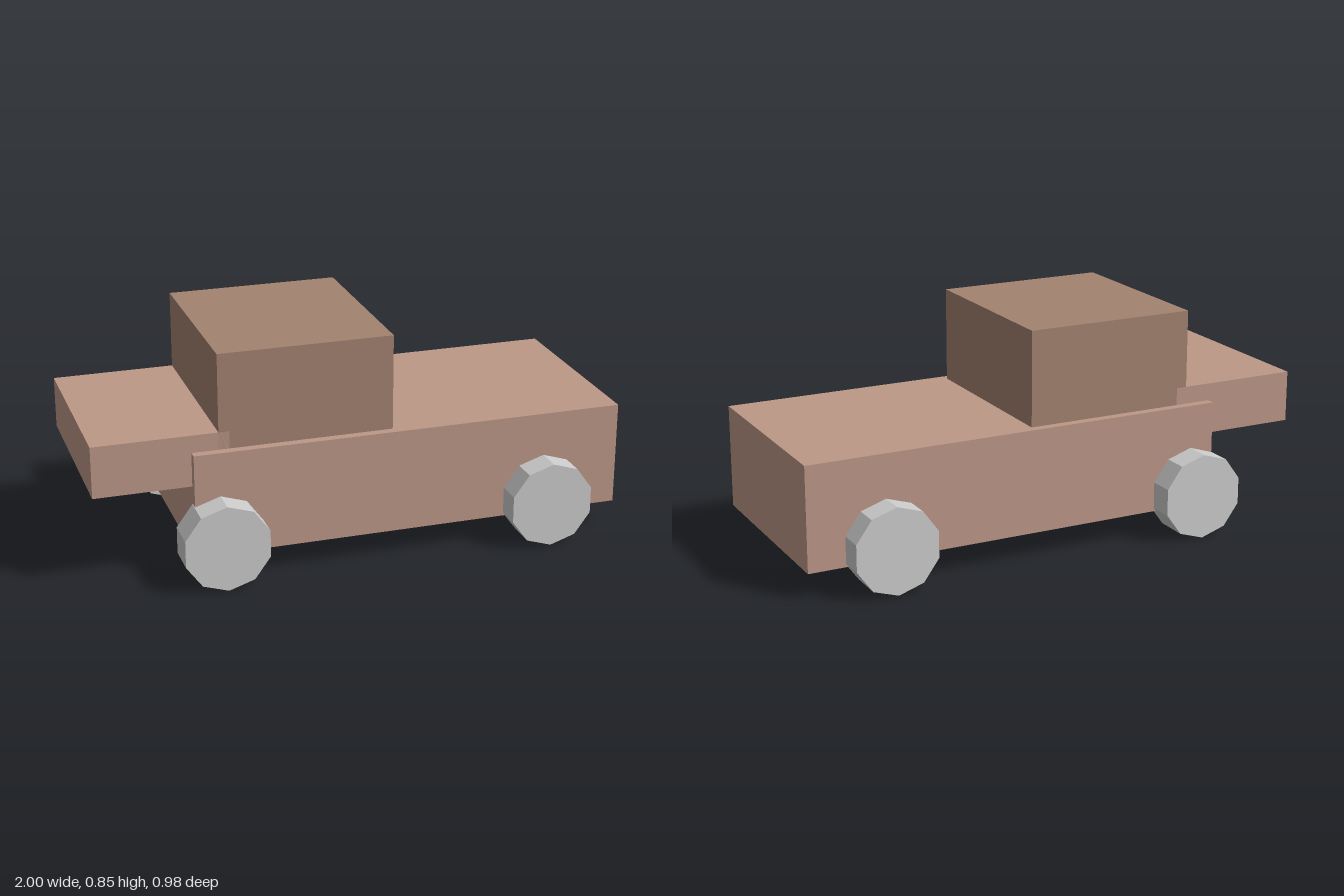
import * as THREE from 'three';

export function createModel() {
  const model = new THREE.Group();
  const paint = (color) => new THREE.MeshStandardMaterial({ color, flatShading: true });
  const bodyPaint = paint(0xbc9887);
  const cabinPaint = paint(0xa38270);
  const wheelGrey = paint(0xcccccc);

  // Box given by its extents in x and y and its half depth in z
  const addBox = (name, x0, x1, y0, y1, halfZ, material) => {
    const box = new THREE.Mesh(new THREE.BoxGeometry(x1 - x0, y1 - y0, halfZ * 2), material);
    box.name = name;
    box.position.set((x0 + x1) / 2, (y0 + y1) / 2, 0);
    model.add(box);
  };

  addBox('body', -0.64, 1, 0.1, 0.494, 0.393, bodyPaint);
  addBox('cabin', -0.54, 0.113, 0.49, 0.854, 0.36, cabinPaint);
  // Overhanging deck that runs into the cabin
  addBox('deck', -1, -0.5, 0.365, 0.56, 0.36, bodyPaint);

  // Four ten-sided wheels
  const wheelGeometry = new THREE.CylinderGeometry(0.164, 0.164, 0.13, 10).rotateX(Math.PI / 2);
  for (const [end, x] of [['deckEnd', -0.546], ['longEnd', 0.702]]) {
    for (const [side, z] of [['Front', 0.426], ['Back', -0.426]]) {
      const wheel = new THREE.Mesh(wheelGeometry, wheelGrey);
      wheel.name = `${end}${side}Wheel`;
      wheel.position.set(x, 0.164, z);
      model.add(wheel);
    }
  }

  return model;
}
